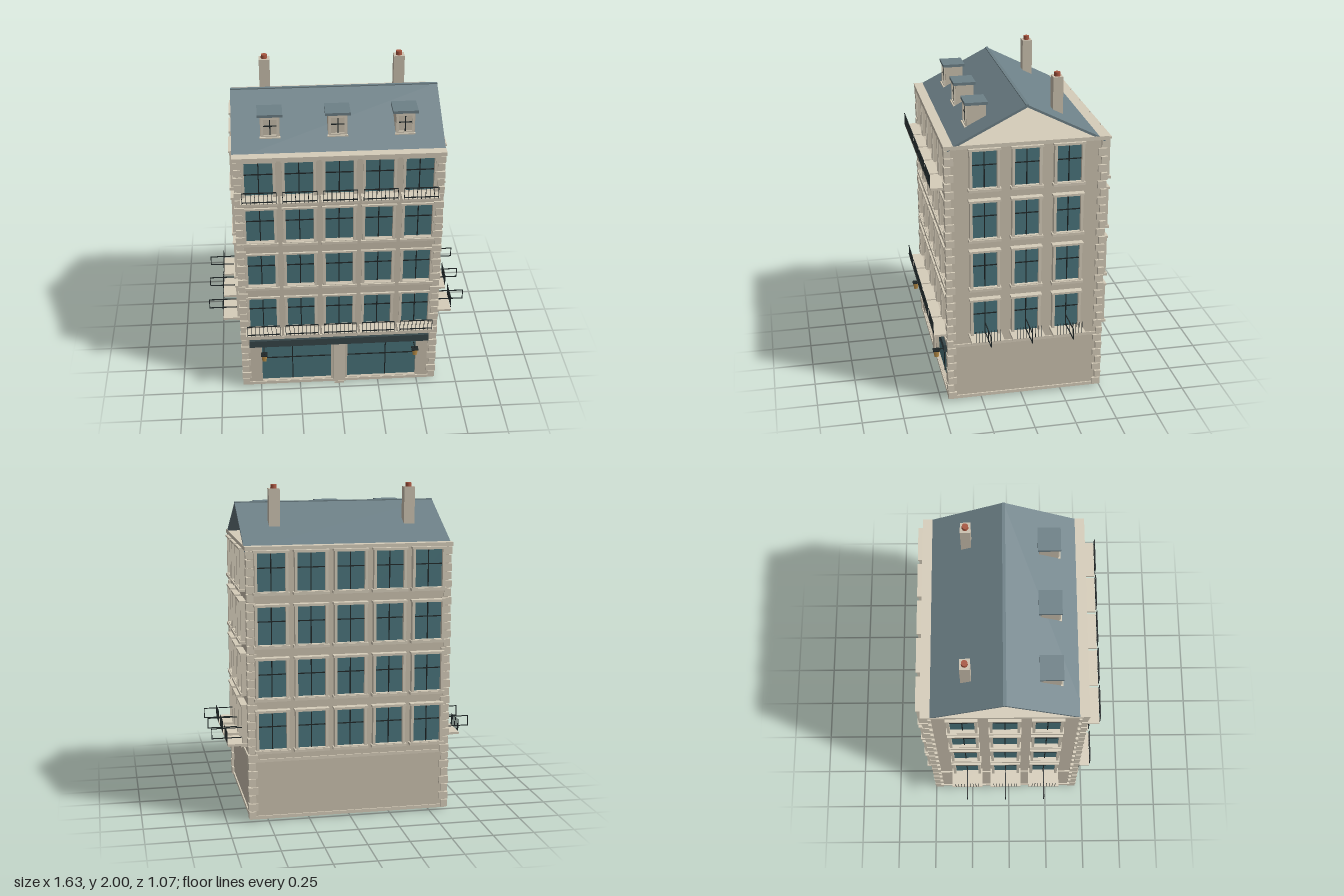
import * as THREE from 'three';

const mat = (color, side = THREE.FrontSide) => new THREE.MeshStandardMaterial({ color, side });
const WALL = mat(0xcbc1af), TRIM = mat(0xd6cdba), GLASS = mat(0x4a747c), IRON = mat(0x1f2728);
const SLATE = mat(0x6d8087, THREE.DoubleSide), SIGN = mat(0x37474a), CLAY = mat(0xa8553f), LAMP = mat(0xc99a4e);

// Main dimensions
const HALF = 0.602, FRONT = 0.448, BACK = -0.49, MID = -0.022;
const ROWS = [0.563, 0.88, 1.197, 1.513], COLS = [-0.472, -0.236, 0, 0.236, 0.472];
const GLASS_H = 0.226;

function add(parent, name, geometry, material, x = 0, y = 0, z = 0) {
  const mesh = new THREE.Mesh(geometry, material);
  mesh.name = name;
  mesh.position.set(x, y, z);
  parent.add(mesh);
  return mesh;
}

// Box given by its limits on each axis
function box(parent, name, material, x0, x1, y0, y1, z0, z1) {
  return add(parent, name, new THREE.BoxGeometry(x1 - x0, y1 - y0, z1 - z0), material,
    (x0 + x1) / 2, (y0 + y1) / 2, (z0 + z1) / 2);
}

function group(parent, name, x = 0, y = 0, z = 0, turn = 0) {
  const g = new THREE.Group();
  g.name = name;
  g.position.set(x, y, z);
  g.rotation.y = turn;
  parent.add(g);
  return g;
}

function rect(Type, x0, x1, y0, y1) {
  return new Type([[x0, y0], [x1, y0], [x1, y1], [x0, y1]].map(p => new THREE.Vector2(...p)));
}

// Flat plate with rectangular openings
function plate(outer, holes, depth) {
  const shape = rect(THREE.Shape, ...outer);
  holes.forEach(h => shape.holes.push(rect(THREE.Path, ...h)));
  return new THREE.ExtrudeGeometry(shape, { depth, bevelEnabled: false });
}

// Window facing +z; its origin is the glass centre on the wall plane
function windowUnit(parent, x, y, z, turn, w, depth, glassZ) {
  const g = group(parent, 'window', x, y, z, turn);
  const a = w / 2, b = GLASS_H / 2, e = 0.016;
  box(g, 'glass', GLASS, -a, a, -b, b, glassZ - 0.01, glassZ);
  add(g, 'casing', plate([-a - e, a + e, -b - e, b + 0.012], [[-a, a, -b, b]], depth), TRIM);
  box(g, 'sill', TRIM, -a - 0.024, a + 0.024, -b - 0.02, -b - 0.004, 0, depth + 0.008);
  box(g, 'lintel', TRIM, -a - 0.022, a + 0.022, b + 0.004, b + 0.016, 0, depth + 0.006);
  box(g, 'mullion', IRON, -0.003, 0.003, -b, b, glassZ, glassZ + 0.005);
  box(g, 'transom', IRON, -a, a, 0.022, 0.028, glassZ, glassZ + 0.005);
}

// Balcony facing +z; 'across' makes the rails stand out from the wall
function balcony(parent, x, y, z, turn, w, reach, across) {
  const g = group(parent, 'balcony', x, y, z, turn);
  box(g, 'balconySlab', TRIM, -w / 2, w / 2, -0.125, -0.111, 0, reach);
  const r = 0.1, t = 0.0025;
  for (const h of [-0.098, -0.036]) {
    if (across) box(g, 'rail', IRON, -t, t, h - t, h + t, reach - r, reach + 0.09);
    else box(g, 'rail', IRON, -r, r, h - t, h + t, reach, reach + 2 * t);
  }
  const n = 9, s = across ? 0.075 : r;
  for (let i = 0; i < n; i++) {
    const p = -s + (2 * s * i) / (n - 1);
    box(g, 'baluster', IRON, p - 0.0015, p + 0.0015, -0.111, -0.036, reach, reach + 0.003);
  }
  if (across) box(g, 'endPost', IRON, -t, t, -0.098, -0.036, reach + 0.085, reach + 0.09);
}

function buildWalls(root) {
  const g = group(root, 'walls');
  box(g, 'core', WALL, -HALF, HALF, 0.01, 1.65, BACK, 0.408);
  // Front wall pierced by the windows and the two shop openings
  const holes = [[-0.49, -0.052, 0.035, 0.32], [0.052, 0.49, 0.035, 0.32]];
  for (const y of ROWS) for (const x of COLS)
    holes.push([x - 0.083, x + 0.083, y - GLASS_H / 2, y + GLASS_H / 2]);
  add(g, 'facade', plate([-HALF, HALF, 0.01, 1.645], holes, FRONT - 0.408), WALL, 0, 0, 0.408);
  box(g, 'plinth', TRIM, -0.61, 0.61, 0.012, 0.032, BACK - 0.008, FRONT + 0.006);
  box(g, 'stringCourse', TRIM, -0.61, 0.61, 0.368, 0.386, BACK - 0.008, FRONT + 0.008);
  box(g, 'cornice', TRIM, -0.624, 0.624, 1.64, 1.663, -0.506, 0.462);
  // Corner stones, alternately long on each face
  const n = 32, pitch = 1.628 / n;
  for (const sx of [-1, 1]) for (const front of [true, false]) for (let i = 0; i < n; i++) {
    const lx = i % 2 ? 0.058 : 0.042, lz = i % 2 ? 0.038 : 0.052, j = i % 2 ? 0 : 0.003;
    const z = front ? 0.459 - j - lz / 2 : -0.503 + j + lz / 2;
    add(g, 'cornerStone', new THREE.BoxGeometry(lx, pitch - 0.007, lz), TRIM,
      sx * (0.619 - j - lx / 2), 0.012 + (i + 0.5) * pitch, z);
  }
}

function buildWindows(root) {
  const g = group(root, 'windows');
  ROWS.forEach((y, row) => {
    for (const x of COLS) {
      windowUnit(g, x, y, FRONT, 0, 0.166, 0.006, -0.025);
      windowUnit(g, x, y, BACK, Math.PI, 0.166, 0.038, 0.012);
      if (row === 0 || row === 3) balcony(g, x, y, FRONT, 0, 0.222, 0.085, false);
    }
    for (const s of [-1, 1]) for (const k of [-1, 0, 1]) {
      const z = MID + k * 0.249;
      windowUnit(g, s * HALF, y, z, s * Math.PI / 2, 0.145, 0.034, 0.012);
      if (row === 0) balcony(g, s * HALF, y, z, s * Math.PI / 2, 0.198, 0.122, true);
    }
  });
}

function buildShop(root) {
  const g = group(root, 'shopFront');
  box(g, 'signBoard', SIGN, -0.565, 0.565, 0.32, 0.367, FRONT, 0.473);
  box(g, 'doorPier', TRIM, -0.038, 0.038, 0.012, 0.32, FRONT, 0.458);
  box(g, 'threshold', TRIM, -0.03, 0.03, 0, 0.014, 0.38, 0.462);
  for (const s of [-1, 1]) {
    const x = s * 0.271;
    box(g, 'shopGlass', GLASS, x - 0.219, x + 0.219, 0.035, 0.32, 0.408, 0.428);
    box(g, 'shopMullion', IRON, x + s * 0.025 - 0.003, x + s * 0.025 + 0.003, 0.035, 0.32, 0.428, 0.433);
    box(g, 'shopTransom', IRON, x - 0.219, x + 0.219, 0.202, 0.208, 0.428, 0.433);
    // Wall lantern
    const l = group(g, 'lantern', s * 0.475, 0, 0.507);
    const body = add(l, 'lanternBody', new THREE.CylinderGeometry(0.024, 0.017, 0.042, 4), LAMP, 0, 0.266, 0);
    body.rotation.y = Math.PI / 4;
    box(l, 'lanternCap', IRON, -0.021, 0.021, 0.286, 0.292, -0.021, 0.021);
    box(l, 'bracket', IRON, -0.003, 0.003, 0.292, 0.298, -0.06, 0.003);
  }
}

function buildRoof(root) {
  const g = group(root, 'roof');
  // Thin folded slab with open gable ends
  const profile = [[0.44, 1.645], [MID, 1.88], [-0.484, 1.645], [-0.484, 1.63], [MID, 1.865], [0.44, 1.63]];
  const geo = new THREE.ExtrudeGeometry(new THREE.Shape(profile.map(p => new THREE.Vector2(...p))),
    { depth: 1.244, bevelEnabled: false });
  geo.rotateY(-Math.PI / 2).translate(0.622, 0, 0);
  add(g, 'roofSlabs', geo, SLATE);
  box(g, 'ridge', SLATE, -0.622, 0.622, 1.868, 1.882, MID - 0.009, MID + 0.009);

  // Dormers
  for (const x of [-0.395, 0, 0.395]) {
    const d = group(g, 'dormer', x);
    box(d, 'dormerBody', WALL, -0.057, 0.057, 1.69, 1.847, 0.185, 0.296);
    box(d, 'dormerCap', SLATE, -0.074, 0.074, 1.845, 1.862, 0.175, 0.31);
    add(d, 'dormerCasing', plate([-0.052, 0.052, 1.712, 1.842], [[-0.039, 0.039, 1.728, 1.828]], 0.008),
      TRIM, 0, 0, 0.296);
    box(d, 'dormerSill', TRIM, -0.06, 0.06, 1.706, 1.718, 0.296, 0.312);
    box(d, 'dormerMullion', IRON, -0.003, 0.003, 1.728, 1.828, 0.296, 0.3);
    box(d, 'dormerTransom', IRON, -0.039, 0.039, 1.782, 1.788, 0.296, 0.3);
  }

  // Chimneys
  for (const s of [-1, 1]) {
    const c = group(g, 'chimney', s * 0.413, 0, -0.242);
    box(c, 'stack', WALL, -0.033, 0.033, 1.75, 1.976, -0.03, 0.03);
    add(c, 'pot', new THREE.CylinderGeometry(0.018, 0.02, 0.03, 16), CLAY, 0, 1.985, 0);
  }
}

export function createModel() {
  const root = new THREE.Group();
  root.name = 'townhouse';
  buildWalls(root);
  buildWindows(root);
  buildShop(root);
  buildRoof(root);
  return root;
}
